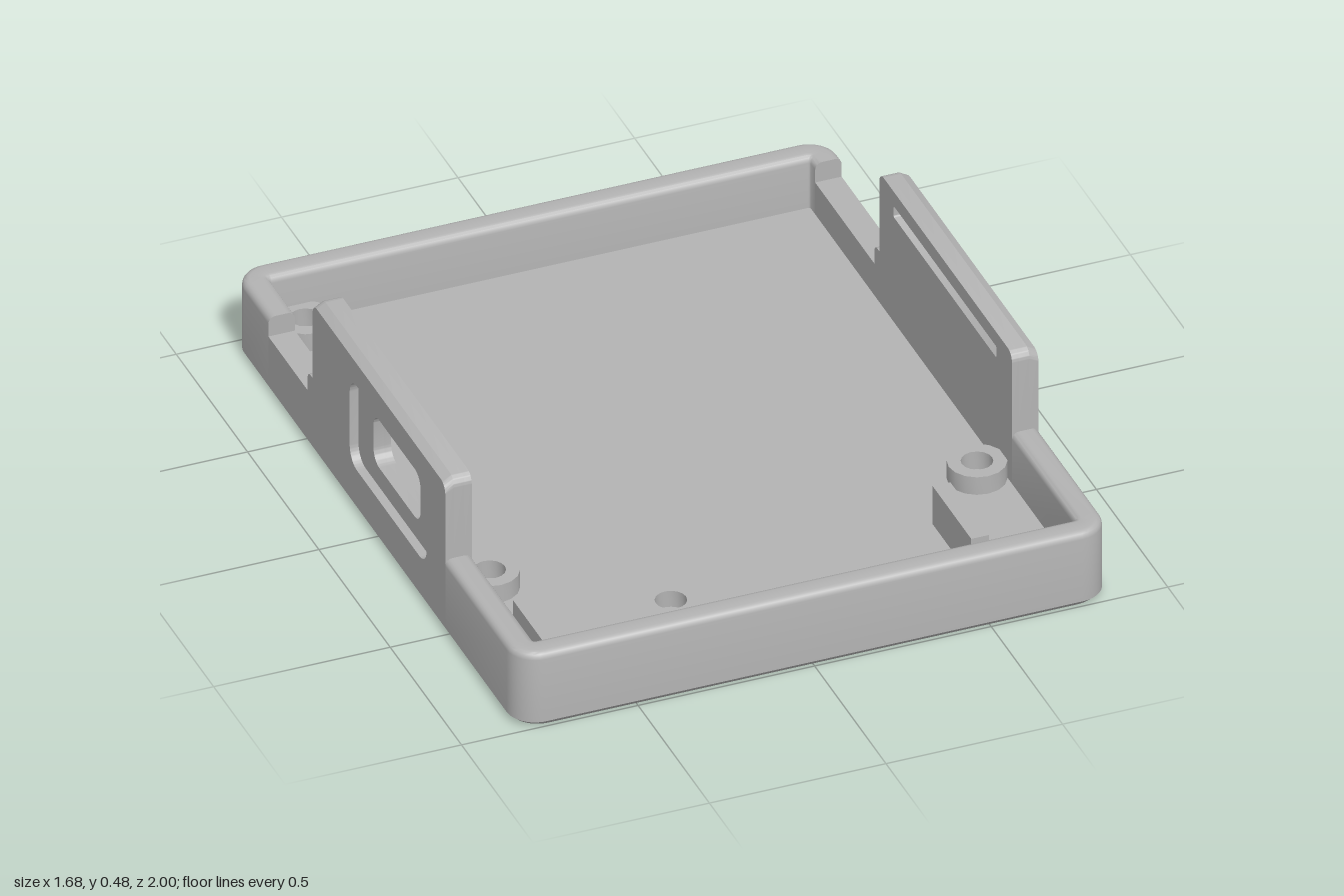
import * as THREE from 'three';
import { toCreasedNormals } from 'three/addons/utils/BufferGeometryUtils.js';

const W = 0.84, D = 1, WALL = 0.075, R = 0.08;   // half width, half depth, wall, corner radius
const BASE = 0.015, FLOOR = 0.07, RIM = 0.23;    // heights
const BOSSES = [[-0.69, -0.86], [-0.69, 0.43], [0.69, 0.43]];
const PLATE = [-0.305, 0.735];

function roundedRect(x0, y0, x1, y1, r, S = THREE.Shape) {
  const s = new S();
  s.moveTo(x0 + r, y0);
  s.lineTo(x1 - r, y0).absarc(x1 - r, y0 + r, r, -Math.PI / 2, 0);
  s.lineTo(x1, y1 - r).absarc(x1 - r, y1 - r, r, 0, Math.PI / 2);
  s.lineTo(x0 + r, y1).absarc(x0 + r, y1 - r, r, Math.PI / 2, Math.PI);
  s.lineTo(x0, y0 + r).absarc(x0 + r, y0 + r, r, Math.PI, Math.PI * 1.5);
  return s;
}

const hole = (x, z, r) => new THREE.Path().absarc(x, z, r, 0, Math.PI * 2);

const extrude = (shape, depth) =>
  new THREE.ExtrudeGeometry(shape, { depth, bevelEnabled: false, curveSegments: 8 });

// Horizontal slab from a shape drawn in (x, z)
const slab = (shape, y0, y1) => extrude(shape, y1 - y0).rotateX(Math.PI / 2).translate(0, y1, 0);

function editVertices(geo, rule) {
  const p = geo.attributes.position, v = new THREE.Vector3();
  for (let i = 0; i < p.count; i++) {
    rule(v.fromBufferAttribute(p, i));
    p.setXYZ(i, v.x, v.y, v.z);
  }
  return geo;
}

// U-shaped wall with a rounded rim, swept round two corners, with closed ends
function wallSweep(zStart, zEnd) {
  const path = [[W, zStart, 1, 0]];
  for (const [cx, a0] of [[W - R, 0], [R - W, Math.PI / 2]]) {
    for (let i = 0; i <= 8; i++) {
      const a = a0 + (i / 8) * Math.PI / 2, c = Math.cos(a), s = Math.sin(a);
      path.push([cx + R * c, D - R + R * s, c, s]);
    }
  }
  path.push([-W, zEnd, -1, 0]);

  const f = 0.02, profile = [[0, BASE]];          // (inset, height)
  for (let i = 0; i <= 4; i++) {
    const a = (i / 4) * Math.PI / 2;
    profile.push([f - f * Math.cos(a), RIM - f + f * Math.sin(a)]);
  }
  for (let i = 0; i <= 4; i++) {
    const a = (i / 4) * Math.PI / 2;
    profile.push([WALL - f + f * Math.sin(a), RIM - f + f * Math.cos(a)]);
  }
  profile.push([WALL, BASE]);

  const n = profile.length, last = (path.length - 1) * n, pos = [], idx = [];
  for (const [x, z, nx, nz] of path)
    for (const [d, y] of profile) pos.push(x - nx * d, y, z - nz * d);
  for (let i = 0; i < path.length - 1; i++) {
    for (let j = 0; j < n - 1; j++) {
      const a = i * n + j, b = a + 1, c = a + n, d = c + 1;
      idx.push(a, b, c, b, d, c);
    }
  }
  for (let j = 1; j < n - 1; j++) {
    idx.push(0, j + 1, j);
    idx.push(last, last + j, last + j + 1);
  }
  const geo = new THREE.BufferGeometry();
  geo.setAttribute('position', new THREE.Float32BufferAttribute(pos, 3));
  geo.setIndex(idx);
  return geo;
}

// Side wall outline in (z, y): tall panel, small step, then the low notch
function sideOutline(zBack) {
  const s = new THREE.Shape();
  s.moveTo(0.49, BASE);
  s.lineTo(0.49, 0.45).absarc(0.46, 0.45, 0.03, 0, Math.PI / 2);
  s.lineTo(-0.41, 0.48).absarc(-0.41, 0.45, 0.03, Math.PI / 2, Math.PI);
  s.lineTo(-0.44, RIM);
  s.lineTo(-0.455, RIM).absarc(-0.455, RIM - 0.02, 0.02, Math.PI / 2, Math.PI);
  s.lineTo(-0.475, 0.17);
  s.lineTo(zBack, 0.17);
  s.lineTo(zBack, BASE);
  return s;
}

export function createModel() {
  const group = new THREE.Group();
  const grey = new THREE.MeshStandardMaterial({ color: 0xb3b3b3 });
  grey.name = 'grey plastic';

  function add(name, geo, parent = group) {
    const mesh = new THREE.Mesh(toCreasedNormals(geo, 0.6), grey);
    mesh.name = name;
    parent.add(mesh);
    return mesh;
  }

  // Floor with screw holes; the lowest layer is chamfered round its edge
  const screws = [...BOSSES, [-0.3, PLATE[1]]];
  const drill = (shape) => {
    for (const [x, z] of screws) shape.holes.push(hole(x, z, 0.033));
    return shape;
  };
  add('bottomPlate', editVertices(slab(drill(roundedRect(-W, -D, W, D, R)), 0, BASE), (v) => {
    const edge = Math.abs(v.x) > 0.75 || Math.abs(v.z) > 0.91;
    if (v.y < 0.001 && edge) {
      v.x *= 0.985;
      v.z *= 0.987;
    }
  }));
  const ix = W - WALL + 0.003, iz = D - WALL + 0.003;
  add('floor', slab(drill(roundedRect(-ix, -iz, ix, iz, 0.01)), BASE, FLOOR));

  // Front and back walls
  add('frontWall', wallSweep(0.49, 0.49));
  add('backWall', wallSweep(0.75, 0.89)).rotation.y = Math.PI;

  // Side walls in three layers: grooved inside, core, outer skin with softened top
  const groove = () => roundedRect(-0.34, 0.4, 0.38, 0.435, 0.005, THREE.Path);
  const port = () => roundedRect(-0.075, 0.19, 0.255, 0.34, 0.04, THREE.Path);
  const recess = () => roundedRect(-0.18, 0.13, 0.36, 0.395, 0.05, THREE.Path);
  for (const [side, zBack, name] of [[1, -0.89, 'leftWall'], [-1, -0.75, 'rightWall']]) {
    const wall = new THREE.Group();
    wall.name = name;
    group.add(wall);
    const open = side < 0;
    const layers = [
      ['GroovedLayer', W - WALL, 0.785, open ? [groove(), port()] : [groove()]],
      ['Core', 0.785, 0.815, open ? [port()] : []],
      ['OuterSkin', 0.815, W, open ? [recess()] : []],
    ];
    for (const [part, a, b, holes] of layers) {
      const shape = sideOutline(zBack);
      shape.holes.push(...holes);
      const geo = extrude(shape, b - a).rotateY(-Math.PI / 2).translate(side > 0 ? b : -a, 0, 0);
      add(name + part, editVertices(geo, (v) => {
        if (Math.abs(v.x) > W - 0.001 && v.y > 0.44) v.y -= 0.015;
      }), wall);
    }
  }

  // Screw bosses
  for (const [x, z] of BOSSES) {
    const ring = new THREE.Shape().absarc(x, z, 0.08, 0, Math.PI * 2);
    ring.holes.push(hole(x, z, 0.043));
    add('screwBoss', slab(ring, FLOOR, 0.125));
  }

  // Screw plate: a bar with a round swelling in the middle
  const h = 0.065, r = 0.085, a = Math.asin(h / r);
  const bar = new THREE.Shape();
  bar.moveTo(-0.155, -h);
  bar.absarc(0, 0, r, a - Math.PI, -a);
  bar.lineTo(0.145, -h).lineTo(0.155, -h + 0.01).lineTo(0.155, h - 0.01).lineTo(0.145, h);
  bar.absarc(0, 0, r, a, Math.PI - a);
  bar.lineTo(-0.155, h);
  bar.holes.push(hole(0.005, 0, 0.043));
  add('screwPlate', slab(bar, FLOOR, 0.12).translate(PLATE[0], 0, PLATE[1]));

  // Support ribs: x, z centre, length, top
  for (const [x, z, length, top] of [[-0.66, 0.735, 0.31, 0.12], [0.525, 0.725, 0.27, 0.19]]) {
    add('supportRib', new THREE.BoxGeometry(0.05, top - FLOOR, length)
      .translate(x, (top + FLOOR) / 2, z));
  }
  return group;
}
